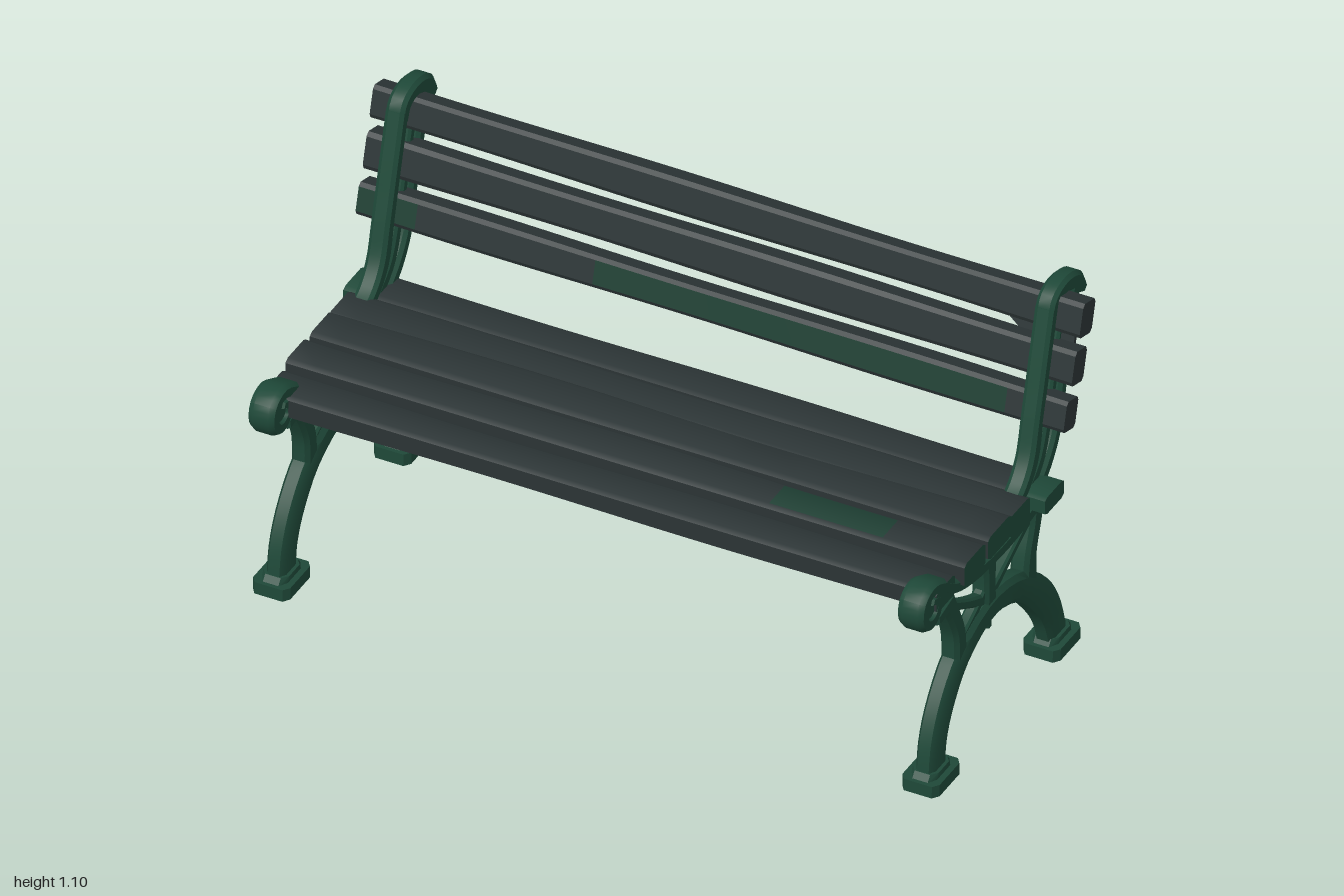
import * as THREE from 'three';
import { toCreasedNormals } from 'three/addons/utils/BufferGeometryUtils.js';

const iron = new THREE.MeshStandardMaterial({ color: 0x1e4838 });
iron.name = 'green iron';
const wood = new THREE.MeshStandardMaterial({ color: 0x2b3435 });
wood.name = 'dark slat';
const moss = new THREE.MeshStandardMaterial({ color: 0x1d3e32 });
moss.name = 'green stain';

// Chamfered rectangle, counter-clockwise
const section = (c) => [[1, -c], [1, c], [c, 1], [-c, 1], [-1, c], [-1, -c], [-c, -1], [c, -1]];

// Skin a row of rings; slot(i, j) picks the material index of each face, caps use capSlot
function loft(rings, slot = () => 0, capSlot = 0) {
  const faces = [[], [], []];
  const tri = (s, ...pts) => pts.forEach((p) => faces[s].push(p.x, p.y, p.z));
  const n = rings[0].length;
  for (let i = 0; i < rings.length - 1; i++) {
    for (let j = 0; j < n; j++) {
      const k = (j + 1) % n;
      const [a, b, c, d] = [rings[i][j], rings[i][k], rings[i + 1][k], rings[i + 1][j]];
      tri(slot(i, j), a, b, c);
      tri(slot(i, j), a, c, d);
    }
  }
  const first = rings[0], last = rings[rings.length - 1];
  for (let j = 1; j < n - 1; j++) {
    tri(capSlot, first[0], first[j + 1], first[j]);
    tri(capSlot, last[0], last[j], last[j + 1]);
  }
  const geo = new THREE.BufferGeometry();
  geo.setAttribute('position', new THREE.Float32BufferAttribute(faces.flat(), 3));
  let start = 0;
  faces.forEach((f, s) => {
    if (f.length) geo.addGroup(start, f.length / 3, s);
    start += f.length / 3;
  });
  return toCreasedNormals(geo, 0.6);
}

function add(parent, name, geo, mat) {
  const mesh = new THREE.Mesh(geo, mat);
  mesh.name = name;
  parent.add(mesh);
  return mesh;
}

// Iron bar in the side plane; each point is [z, y, half thickness]
function bar(parent, name, pts, halfWidth, steps = pts.length * 3, chamfer = 0.6) {
  const curve = new THREE.CatmullRomCurve3(pts.map(([z, y, h]) => new THREE.Vector3(h, y, z)), false, 'centripetal');
  const rings = [];
  for (let i = 0; i <= steps; i++) {
    const p = curve.getPoint(i / steps);
    const t = curve.getTangent(i / steps).setX(0).normalize();
    rings.push(section(chamfer).map(([u, v]) =>
      new THREE.Vector3(u * halfWidth, p.y + t.z * v * p.x, p.z - t.y * v * p.x)));
  }
  return add(parent, name, loft(rings), iron);
}

// Slightly warped slat along x; stains are [face index, x from, x to], ironFrom is where green ends begin
function slat(parent, name, o) {
  const { y, z, up, deep, lean = 0, left, right, dy, dz, seed, stains = [], capSlot = 0, ironFrom = 2 } = o;
  const steps = 24, rings = [];
  const xAt = (i) => left + ((right - left) * i) / steps;
  for (let i = 0; i <= steps; i++) {
    const x = xAt(i);
    const warp = 0.0025 * Math.sin(x * 4 + seed * 2.1);
    const swell = 1 + 0.04 * Math.sin(x * 5 + seed * 1.7);
    rings.push(section(0.76).map(([u, v]) => {
      const a = u * up * swell, b = v * deep * swell;
      return new THREE.Vector3(x,
        y + dy * x + warp + a * Math.cos(lean) + b * Math.sin(lean),
        z + dz * x + warp - a * Math.sin(lean) + b * Math.cos(lean));
    }));
  }
  const slot = (i, j) => {
    const x = (xAt(i) + xAt(i + 1)) / 2;
    if (Math.abs(x) > ironFrom) return 2;
    return stains.some(([f, x0, x1]) => f === j && x > x0 && x < x1) ? 1 : 0;
  };
  add(parent, name, loft(rings, slot, capSlot), [wood, moss, iron]);
}

function endFrame(x) {
  const g = new THREE.Group();
  g.name = 'endFrame';
  g.position.x = x;

  // Arched legs and feet
  bar(g, 'legArch', [[0.343, 0.03, 0.043], [0.33, 0.12, 0.042], [0.288, 0.205, 0.042], [0.2, 0.295, 0.04],
    [0.05, 0.345, 0.036], [-0.11, 0.307, 0.04], [-0.225, 0.205, 0.046], [-0.28, 0.12, 0.045], [-0.31, 0.03, 0.045]], 0.027);
  for (const z of [0.34, -0.31]) {
    bar(g, 'foot', [[z, 0, 0.071], [z, 0.034, 0.07]], 0.052, 1, 0.75);
    bar(g, 'footCollar', [[z, 0.03, 0.062], [z, 0.05, 0.046]], 0.036, 1);
  }
  bar(g, 'archNub', [[0.055, 0.32, 0.02], [0.05, 0.285, 0.009]], 0.015, 2);

  // Supports between arch and seat
  bar(g, 'frontSupport', [[0.215, 0.29, 0.03], [0.222, 0.38, 0.027], [0.25, 0.45, 0.027], [0.285, 0.52, 0.032]], 0.026);
  bar(g, 'rearSupport', [[-0.155, 0.29, 0.037], [-0.162, 0.38, 0.028], [-0.185, 0.45, 0.027], [-0.205, 0.53, 0.035]], 0.026);
  bar(g, 'centreSupport', [[0.055, 0.35, 0.032], [0.055, 0.42, 0.027], [0.055, 0.51, 0.034]], 0.024);
  bar(g, 'frontBrace', [[0.285, 0.495, 0.016], [0.17, 0.43, 0.013], [0.06, 0.375, 0.018]], 0.016);
  bar(g, 'rearBrace', [[-0.19, 0.49, 0.016], [-0.06, 0.425, 0.013], [0.06, 0.365, 0.018]], 0.016);
  bar(g, 'lowerBrace', [[0.2, 0.335, 0.016], [0.13, 0.37, 0.013], [0.05, 0.42, 0.014]], 0.016);
  bar(g, 'frontKnob', [[0.345, 0.495, 0.02], [0.27, 0.51, 0.022]], 0.028, 2);
  bar(g, 'rearKnob', [[-0.18, 0.53, 0.024], [-0.24, 0.51, 0.022], [-0.27, 0.5, 0.014]], 0.034, 4);

  // Seat rail and front scroll
  bar(g, 'seatRail', [[-0.24, 0.535, 0.022], [-0.12, 0.515, 0.022], [0, 0.507, 0.021], [0.17, 0.52, 0.02],
    [0.27, 0.55, 0.02], [0.33, 0.59, 0.02], [0.385, 0.613, 0.019], [0.425, 0.598, 0.02], [0.436, 0.562, 0.02],
    [0.42, 0.53, 0.02], [0.39, 0.522, 0.02], [0.362, 0.54, 0.018], [0.363, 0.57, 0.016], [0.39, 0.582, 0.012]], 0.036, 42);
  const hub = add(g, 'scrollHub', new THREE.CylinderGeometry(0.046, 0.046, 0.056, 12), iron);
  hub.rotation.z = Math.PI / 2;
  hub.position.set(0, 0.566, 0.398);

  // Back post: rails holding the slats, joined by a curled cap
  bar(g, 'frontPostRail', [[-0.06, 0.555, 0.02], [-0.125, 0.59, 0.02], [-0.175, 0.65, 0.022], [-0.205, 0.76, 0.019],
    [-0.245, 0.91, 0.018], [-0.282, 1.045, 0.018]], 0.026);
  bar(g, 'rearPostRail', [[-0.2, 0.55, 0.02], [-0.255, 0.6, 0.02], [-0.3, 0.67, 0.018], [-0.332, 0.8, 0.018],
    [-0.37, 0.93, 0.02], [-0.4, 1.05, 0.025]], 0.026);
  bar(g, 'innerPostRail', [[-0.16, 0.56, 0.02], [-0.225, 0.62, 0.02], [-0.262, 0.71, 0.016], [-0.297, 0.83, 0.014],
    [-0.332, 0.955, 0.014], [-0.367, 1.07, 0.016]], 0.018);
  bar(g, 'postCap', [[-0.278, 1.02, 0.018], [-0.294, 1.058, 0.022], [-0.335, 1.074, 0.022], [-0.39, 1.062, 0.027],
    [-0.42, 1.035, 0.03], [-0.442, 1.01, 0.014]], 0.026);
  return g;
}

export function createModel() {
  const model = new THREE.Group();
  model.name = 'bench';
  model.add(endFrame(-0.908), endFrame(0.905));

  // Seat slats: [z, y, half height, half depth, half length]; the rear one reaches past the frames
  [[0.322, 0.565, 0.032, 0.052, 0.94], [0.188, 0.57, 0.035, 0.056, 0.952], [0.052, 0.567, 0.033, 0.06, 0.952],
    [-0.05, 0.564, 0.031, 0.058, 0.952], [-0.18, 0.553, 0.026, 0.052, 0.983]].forEach(([z, y, up, deep, half], i) =>
    slat(model, 'seatSlat', { y, z, up, deep, left: -half, right: half, dy: 0.006, dz: 0.007, seed: i, capSlot: 2,
      ironFrom: i === 4 ? 0.92 : 2, stains: i === 1 ? [[0, 0.36, 0.7]] : [] }));

  // Back slats: [z, y, half height, x from, x to, stains]
  [[-0.262, 0.763, 0.043, -1, 0.99, [[2, -0.33, 0.86], [2, -1, -0.8], [6, 0.3, 0.85]]],
    [-0.299, 0.888, 0.048, -1, 0.995, []],
    [-0.336, 1.012, 0.045, -1, 1, []]].forEach(([z, y, up, left, right, stains], i) =>
    slat(model, 'backSlat', { y, z, up, deep: 0.033, lean: 0.27, left, right, dy: 0.004, dz: 0.015, seed: i + 3, stains }));

  // Worn web joining the two upper slats at one end
  const web = new THREE.Shape([[0.68, 0.06], [0.96, 0.06], [0.96, -0.12], [0.9, -0.1]].map((p) => new THREE.Vector2(...p)));
  const webMesh = add(model, 'slatWeb', new THREE.ExtrudeGeometry(web, { depth: 0.012, bevelEnabled: false }), wood);
  webMesh.position.set(0, 0.955, -0.342);
  webMesh.rotation.x = -0.27;
  return model;
}
